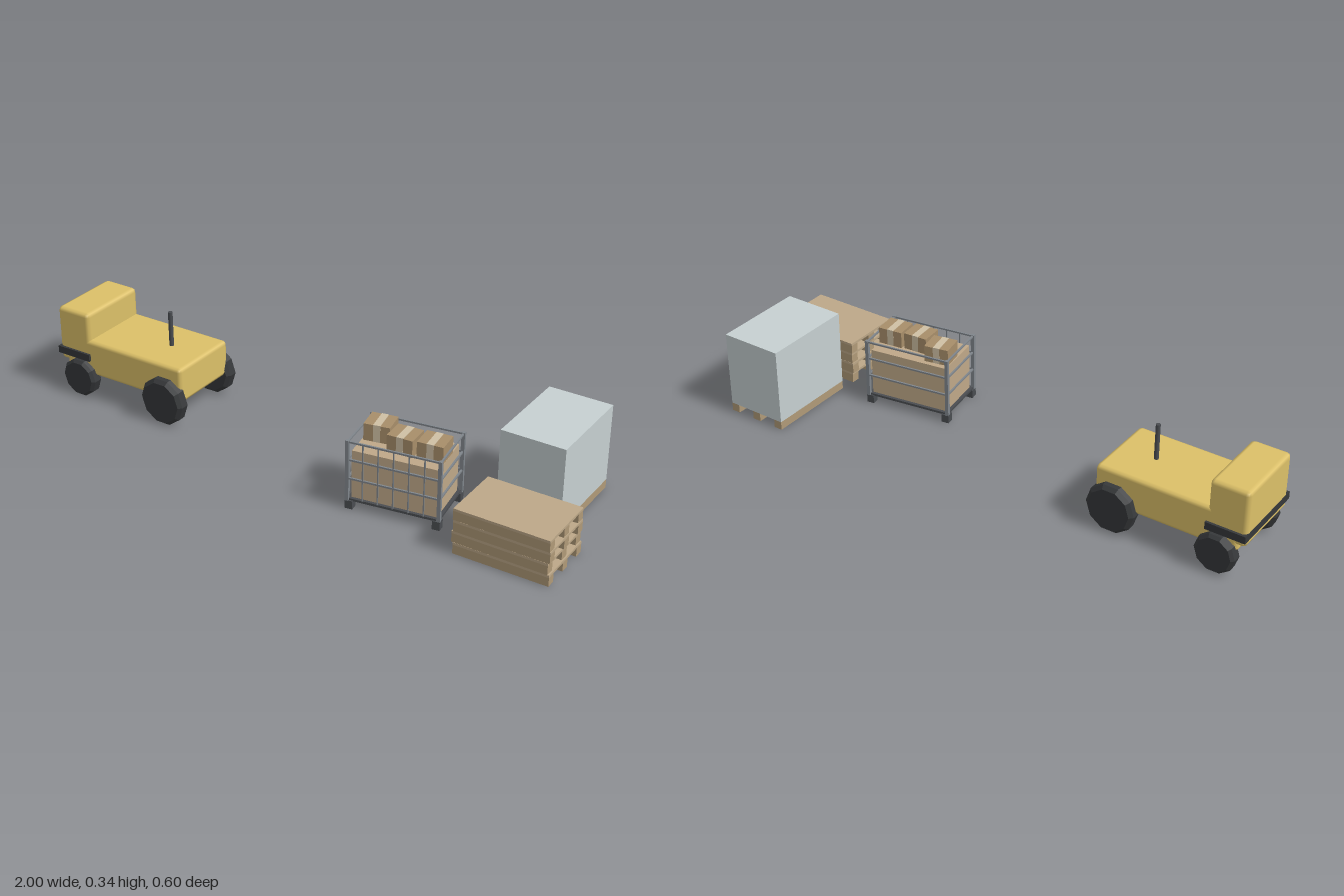
import * as THREE from 'three';
import { RoundedBoxGeometry } from 'three/addons/geometries/RoundedBoxGeometry.js';

const mat = (color, flatShading = false) => new THREE.MeshStandardMaterial({ color, flatShading });
const YELLOW = mat(0xdcc068), BLACK = mat(0x36383a, true), STEEL = mat(0x80868c), DARK = mat(0x4a4d51);
const WOOD = mat(0xb09a78), DECK = mat(0xbda888), CARD = mat(0xbfa888), CARTON = mat(0xa88e6a), TAPE = mat(0xcfc0a4), WRAP = mat(0xc6d0d1);

function add(parent, name, geometry, material, x = 0, y = 0, z = 0) {
  const mesh = new THREE.Mesh(geometry, material);
  mesh.name = name;
  mesh.position.set(x, y, z);
  parent.add(mesh);
  return mesh;
}

// box given by its size, centre in x and z, and bottom height
function box(parent, name, w, h, d, material, x, y, z) {
  return add(parent, name, new THREE.BoxGeometry(w, h, d), material, x, y + h / 2, z);
}

function group(parent, name, x = 0, y = 0, z = 0, turn = 0) {
  const g = new THREE.Group();
  g.name = name;
  g.position.set(x, y, z);
  g.rotation.y = turn;
  parent.add(g);
  return g;
}

// ten-sided wheel with chamfered rims, axle along z
function wheelGeometry(r, width) {
  const h = width / 2, c = r * 0.14;
  const profile = [[0, -h], [r - c, -h], [r, -h + c], [r, h - c], [r - c, h], [0, h]]
    .map(([a, b]) => new THREE.Vector2(a, b));
  return new THREE.LatheGeometry(profile, 10, Math.PI / 2).rotateX(Math.PI / 2);
}

function buildTractor(parent) {
  const g = group(parent, 'towTractor');
  add(g, 'hood', new RoundedBoxGeometry(0.5, 0.13, 0.27, 1, 0.014), YELLOW, -0.72, 0.15, 0);
  add(g, 'cab', new RoundedBoxGeometry(0.135, 0.2, 0.27, 1, 0.015), YELLOW, -0.931, 0.215, 0);
  box(g, 'bumper', 0.138, 0.026, 0.288, BLACK, -0.931, 0.139, 0);
  add(g, 'exhaustPipe', new THREE.CylinderGeometry(0.008, 0.008, 0.13, 8), DARK, -0.608, 0.277, 0);
  for (const side of [-1, 1]) {
    add(g, 'smallWheel', wheelGeometry(0.07, 0.05), BLACK, -0.905, 0.069, side * 0.135);
    add(g, 'largeWheel', wheelGeometry(0.087, 0.053), BLACK, -0.538, 0.0845, side * 0.139);
  }
}

function buildCageCart(parent) {
  const g = group(parent, 'cageCart', 0.412, 0, 0.137, 0.15);
  const L = 0.32, W = 0.208, px = L / 2 - 0.006, pz = W / 2 - 0.006;
  box(g, 'floor', L - 0.01, 0.008, W - 0.01, DARK, 0, 0.028, 0);
  // corner feet and posts
  for (const sx of [-1, 1]) for (const sz of [-1, 1]) {
    box(g, 'foot', 0.026, 0.03, 0.026, DARK, sx * (L / 2 - 0.013), 0, sz * (W / 2 - 0.013));
    box(g, 'post', 0.012, 0.217, 0.012, STEEL, sx * px, 0.028, sz * pz);
  }
  // rails around all four sides
  for (const y of [0.106, 0.173, 0.237]) for (const s of [-1, 1]) {
    box(g, 'longRail', L - 0.012, 0.006, 0.006, STEEL, 0, y, s * pz);
    box(g, 'shortRail', 0.006, 0.006, W - 0.012, STEEL, s * px, y, 0);
  }
  // front mesh wires
  for (let i = 1; i < 6; i++) box(g, 'wire', 0.004, 0.207, 0.004, STEEL, -px + (i * 2 * px) / 6, 0.034, pz);
  // load with loose cartons on top
  box(g, 'load', L - 0.032, 0.169, W - 0.032, CARD, 0, 0.036, 0);
  const cartons = [[0.312, 0.122, 0.2], [0.415, 0.147, 0.08], [0.512, 0.131, 0.13]];
  for (const [x, z, turn] of cartons) {
    const c = group(parent, 'carton', x, 0.205, z, turn);
    box(c, 'cartonBody', 0.088, 0.059, 0.08, CARTON, 0, 0, 0);
    box(c, 'cartonTape', 0.024, 0.06, 0.0806, TAPE, 0, 0, 0);
  }
}

// three full-length runners, long side along x
function runners(parent, length, width, h) {
  for (const s of [-1, 0, 1]) box(parent, 'runner', length, h, 0.031, WOOD, 0, 0, s * (width - 0.031) / 2);
}

function buildPalletStack(parent) {
  const g = group(parent, 'palletStack', 0.835, 0, 0.19);
  const shifts = [0.003, -0.002, 0.002, 0];
  shifts.forEach((dx, i) => {
    const p = group(g, 'pallet', dx, i * 0.0397, 0, dx * 1.5);
    runners(p, 0.322, 0.218, 0.031);
    box(p, 'deck', 0.322, 0.0087, 0.218, DECK, 0, 0.031, 0);
  });
}

function buildWrappedPallet(parent) {
  const g = group(parent, 'wrappedPallet', 0.793, 0, -0.135, Math.PI / 2);
  runners(g, 0.33, 0.222, 0.03);
  box(g, 'wrappedLoad', 0.33, 0.272, 0.222, WRAP, 0, 0.03, 0);
}

export function createModel() {
  const model = new THREE.Group();
  model.name = 'loadingYard';
  buildTractor(model);
  buildCageCart(model);
  buildPalletStack(model);
  buildWrappedPallet(model);
  return model;
}
